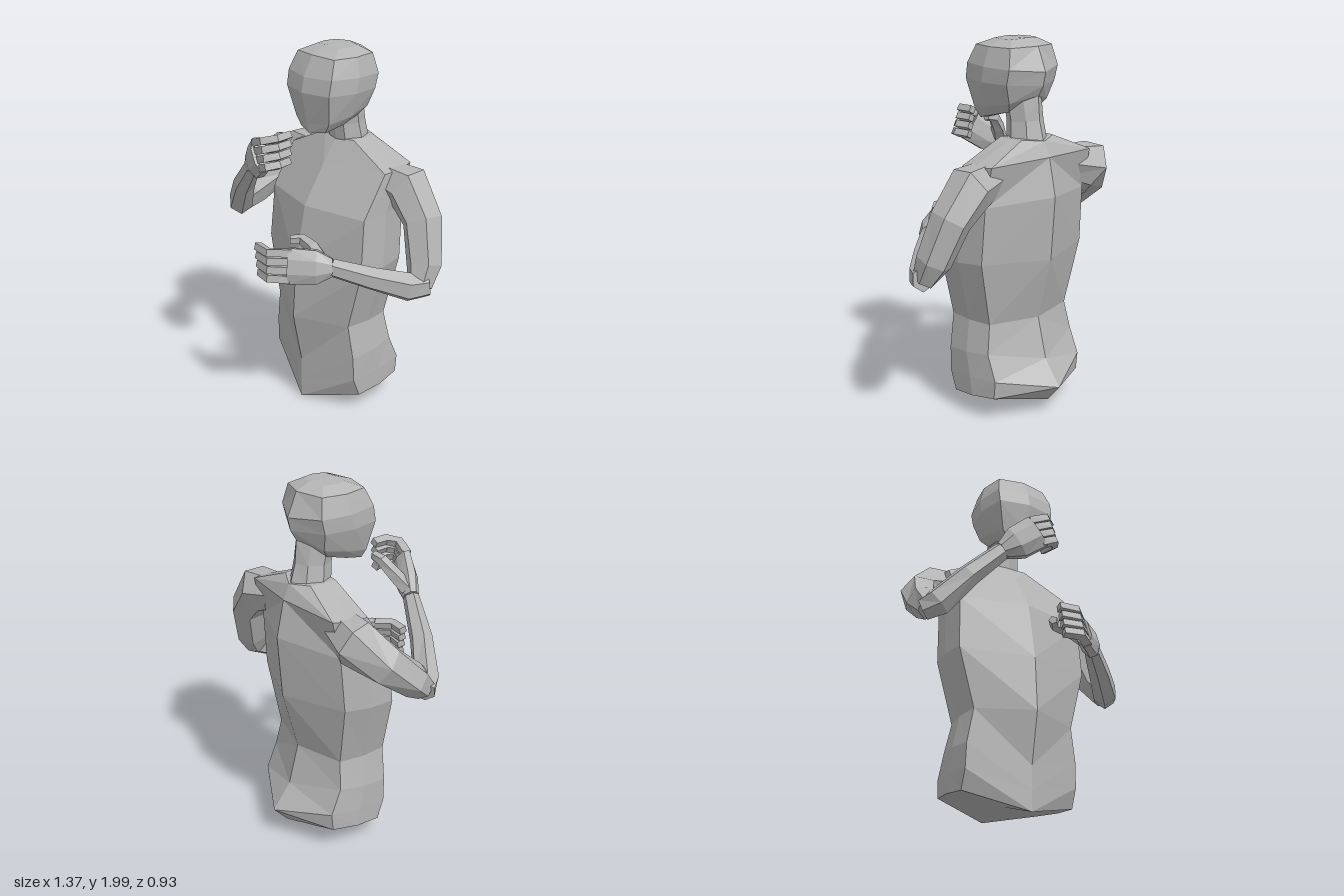
import * as THREE from 'three';

const CX = -0.03; // the body's centre line
const UP = new THREE.Vector3(0, 1, 0);

// Skin closed rings of points with flat quads and close both ends
function loft(rings) {
  const pos = [];
  const tri = (...pts) => pts.forEach((p) => pos.push(p.x, p.y, p.z));
  const n = rings[0].length;
  for (let r = 0; r < rings.length - 1; r++) {
    for (let i = 0; i < n; i++) {
      const j = (i + 1) % n;
      const [a, b, c, d] = [rings[r][i], rings[r][j], rings[r + 1][j], rings[r + 1][i]];
      // the diagonals mirror from one half to the other
      if (i < n / 2) {
        tri(a, b, c);
        tri(a, c, d);
      } else {
        tri(a, b, d);
        tri(b, c, d);
      }
    }
  }
  const cap = (ring, flip) => {
    const mid = new THREE.Vector3();
    ring.forEach((p) => mid.addScaledVector(p, 1 / n));
    for (let i = 0; i < n; i++) {
      const a = ring[i], b = ring[(i + 1) % n];
      if (flip) tri(mid, b, a);
      else tri(mid, a, b);
    }
  };
  cap(rings[0], true);
  cap(rings[rings.length - 1], false);
  const geo = new THREE.BufferGeometry();
  geo.setAttribute('position', new THREE.Float32BufferAttribute(pos, 3));
  geo.computeVertexNormals();
  return geo;
}

// Symmetric eight-point ring; fw and bw narrow the front and back corners
function bodyRing([yFront, ySide, yBack, zFront, zCorner, zBackCorner, zBack, w], fw, bw) {
  const p = (x, y, z) => new THREE.Vector3(CX + x, y, z);
  const zMid = (zCorner + zBackCorner) / 2;
  const tilt = (yBack - yFront) * 0.25;
  const yF = ySide - tilt, yB = ySide + tilt;
  return [
    p(0, yFront, zFront), p(w * fw, yF, zCorner), p(w, ySide, zMid), p(w * bw, yB, zBackCorner),
    p(0, yBack, zBack), p(-w * bw, yB, zBackCorner), p(-w, ySide, zMid), p(-w * fw, yF, zCorner),
  ];
}
const bodyPart = (rows, fw, bw) => loft(rows.map((row) => bodyRing(row, fw, bw)));

// Limb through points; radii lie across and along the "up" direction
function limb(pts, across, along, up, sides) {
  return loft(pts.map((c, i) => {
    const t = pts[Math.min(i + 1, pts.length - 1)].clone().sub(pts[Math.max(i - 1, 0)]).normalize();
    const side = up.clone().cross(t).normalize();
    const u = t.clone().cross(side);
    return Array.from({ length: sides }, (_, k) => {
      const a = ((k + 0.5) / sides) * Math.PI * 2;
      return c.clone().addScaledVector(side, Math.cos(a) * across[i]).addScaledVector(u, Math.sin(a) * along[i]);
    });
  }));
}

export function createModel() {
  const model = new THREE.Group();
  model.name = 'figure';
  const grey = new THREE.MeshStandardMaterial({ color: 0xb4b4b4 });
  grey.name = 'matte grey';
  grey.flatShading = true;
  const add = (parent, name, geo) => {
    const mesh = new THREE.Mesh(geo, grey);
    mesh.name = name;
    parent.add(mesh);
  };

  // Trunk, from hips to collar
  add(model, 'torso', bodyPart([
    [0, 0.115, 0.07, 0.13, -0.01, -0.3, -0.39, 0.335],
    [0.11, 0.215, 0.165, 0.13, 0.03, -0.31, -0.475, 0.335],
    [0.24, 0.35, 0.3, 0.13, 0.035, -0.25, -0.37, 0.332],
    [0.52, 0.52, 0.52, 0.185, 0.045, -0.23, -0.31, 0.3],
    [0.82, 0.86, 0.86, 0.165, 0.035, -0.26, -0.4, 0.388],
    [1.15, 1.16, 1.2, 0.1, 0.01, -0.28, -0.425, 0.378],
    [1.365, 1.38, 1.4, -0.035, -0.13, -0.33, -0.38, 0.38],
    [1.48, 1.49, 1.48, -0.12, -0.14, -0.29, -0.345, 0.12],
  ], 0.97, 0.92));

  // Neck
  add(model, 'neck', bodyPart([
    [1.44, 1.46, 1.46, -0.12, -0.13, -0.29, -0.34, 0.11],
    [1.56, 1.57, 1.58, -0.11, -0.12, -0.27, -0.305, 0.095],
    [1.66, 1.68, 1.7, -0.09, -0.1, -0.25, -0.295, 0.1],
  ], 0.6, 0.65));

  // Head, from jaw to crown
  add(model, 'head', bodyPart([
    [1.55, 1.59, 1.66, 0.07, 0.04, -0.18, -0.27, 0.115],
    [1.6, 1.64, 1.71, 0.08, 0.045, -0.22, -0.3, 0.155],
    [1.77, 1.77, 1.76, 0.115, 0.075, -0.24, -0.33, 0.198],
    [1.85, 1.85, 1.83, 0.1, 0.06, -0.26, -0.345, 0.2],
    [1.955, 1.95, 1.955, 0.045, 0.02, -0.24, -0.29, 0.17],
    [1.99, 1.985, 1.99, -0.06, -0.06, -0.19, -0.21, 0.1],
  ], 0.84, 0.85));

  // An arm with its hand; joints are listed from the shoulder outwards
  const addArm = (name, { upper, fore, palm, knuckles, thumb, handUp }) => {
    const arm = new THREE.Group();
    arm.name = name;
    model.add(arm);
    const path = (list) => list.map((p) => new THREE.Vector3(...p));
    const up = new THREE.Vector3(...handUp).normalize();
    add(arm, 'upperArm', limb(path(upper), [0.09, 0.13, 0.105, 0.095, 0.06],
      [0.09, 0.12, 0.11, 0.092, 0.068], new THREE.Vector3(0, 0, 1), 6));
    add(arm, 'forearm', limb(path(fore), [0.056, 0.07, 0.06, 0.042], [0.065, 0.08, 0.063, 0.05], UP, 6));
    add(arm, 'palm', limb(path(palm), [0.042, 0.054, 0.044], [0.05, 0.096, 0.102], up, 8));
    // Four curled fingers, spread turning upright towards the tips, the last ones shorter
    for (let f = 0; f < 4; f++) {
      const [root, ...rest] = path(knuckles);
      const bones = [root, ...rest.map((p) => root.clone().lerp(p, 1.02 - 0.035 * f))];
      const pts = bones.map((p, i) =>
        p.addScaledVector(up.clone().lerp(UP, i / bones.length), (1.5 - f) * 0.046));
      add(arm, 'finger' + (f + 1), limb(pts, pts.map((_, i) => 0.034 - i * 0.002),
        pts.map((_, i) => 0.028 - i * 0.001), up, 4));
    }
    const thumbRadii = [0.045, 0.038, 0.031, 0.024];
    add(arm, 'thumb', limb(path(thumb), thumbRadii, thumbRadii, UP, 5));
  };

  // Left arm, held low across the belly
  addArm('leftArm', {
    upper: [[0.2, 1.32, -0.22], [0.385, 1.285, -0.25], [0.51, 1.14, -0.24], [0.58, 0.93, -0.19], [0.605, 0.83, -0.14]],
    fore: [[0.635, 0.845, -0.17], [0.58, 0.835, -0.09], [0.45, 0.88, 0.05], [0.3, 0.935, 0.2]],
    palm: [[0.305, 0.935, 0.195], [0.25, 0.935, 0.255], [0.14, 0.935, 0.355]],
    knuckles: [[0.155, 0.935, 0.345], [0.07, 0.935, 0.43], [-0.03, 0.935, 0.415]],
    thumb: [[0.25, 0.96, 0.225], [0.17, 1.0, 0.205], [0.07, 1.015, 0.2], [0.03, 1.015, 0.25]],
    handUp: [-0.12, 1, -0.25],
  });

  // Right arm, raised towards the chin
  addArm('rightArm', {
    upper: [[-0.26, 1.32, -0.22], [-0.45, 1.285, -0.25], [-0.56, 1.18, -0.14], [-0.6, 1.06, 0.01], [-0.605, 1.0, 0.08]],
    fore: [[-0.63, 0.99, 0.06], [-0.575, 1.02, 0.115], [-0.44, 1.18, 0.19], [-0.28, 1.34, 0.25]],
    palm: [[-0.28, 1.34, 0.25], [-0.21, 1.39, 0.28], [-0.11, 1.465, 0.325]],
    knuckles: [[-0.12, 1.46, 0.325], [-0.04, 1.49, 0.345], [0, 1.5, 0.295], [-0.015, 1.5, 0.21]],
    thumb: [[-0.25, 1.38, 0.245], [-0.2, 1.45, 0.2], [-0.14, 1.52, 0.165], [-0.08, 1.53, 0.16]],
    handUp: [-0.5, 0.86, -0.1],
  });
  return model;
}
